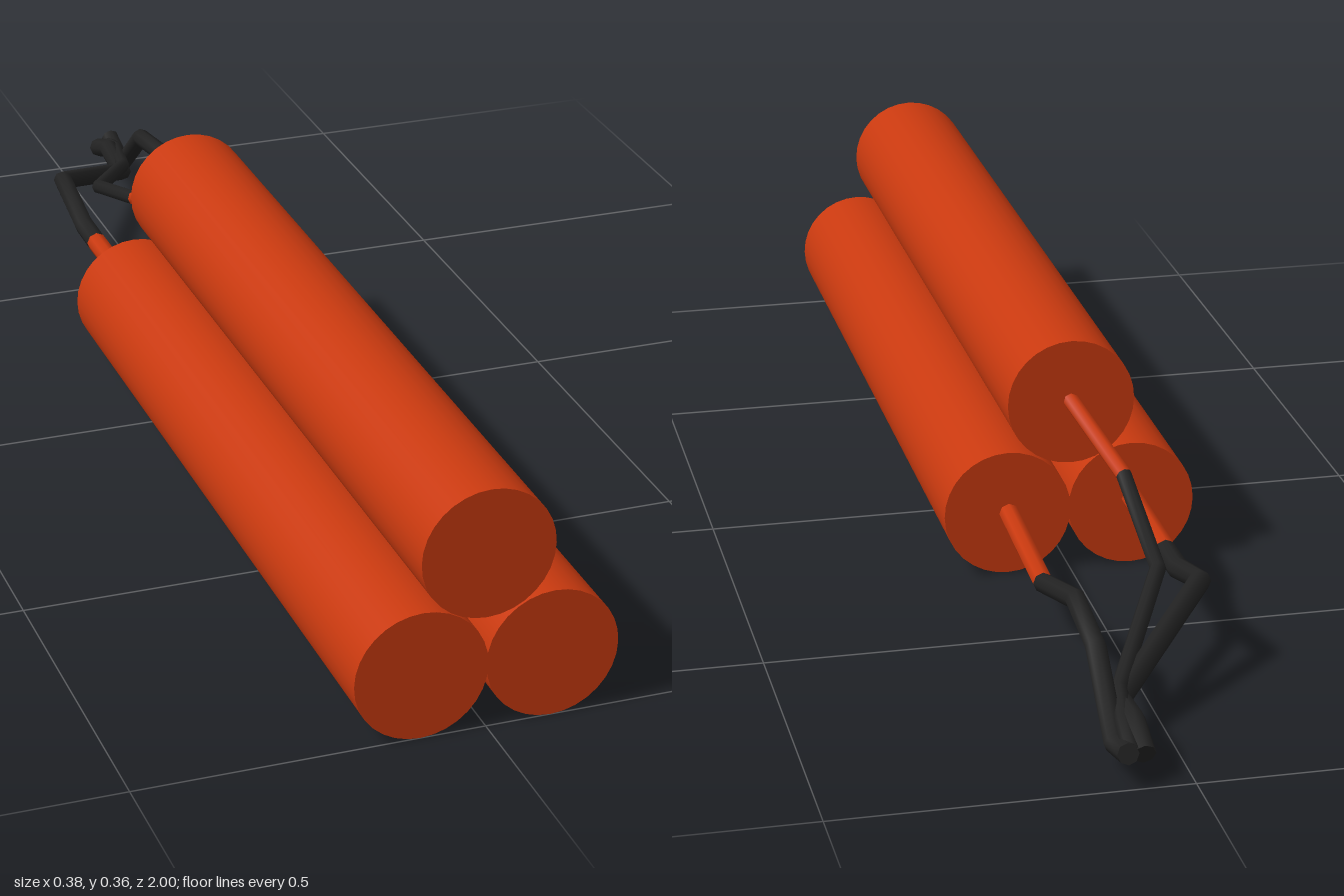
import * as THREE from 'three';

// Straight-segment path with averaged tangents at the corners, one tube ring per corner
class Polyline extends THREE.Curve {
  constructor(points) {
    super();
    this.points = points.map((p) => new THREE.Vector3(...p));
  }
  getPointAt(u) {
    const n = this.points.length - 1;
    const i = Math.min(Math.floor(u * n + 1e-6), n - 1);
    return this.points[i].clone().lerp(this.points[i + 1], u * n - i);
  }
  getTangentAt(u) {
    const n = this.points.length - 1;
    const k = Math.round(u * n);
    const dir = (i) => this.points[i + 1].clone().sub(this.points[i]).normalize();
    return dir(Math.max(k - 1, 0)).add(dir(Math.min(k, n - 1))).normalize();
  }
}

export function createModel() {
  const model = new THREE.Group();
  const red = new THREE.MeshStandardMaterial({ color: 0xc8390f });
  red.name = 'orange red';
  const black = new THREE.MeshStandardMaterial({ color: 0x222222 });
  black.name = 'black';

  // Three stacked sticks
  const stickGeo = new THREE.CylinderGeometry(0.0955, 0.0955, 1.26, 32).rotateX(Math.PI / 2);
  const sticks = { leftStick: [0.094, 0.097], rightStick: [-0.094, 0.097], topStick: [-0.002, 0.265] };
  for (const [name, [x, y]] of Object.entries(sticks)) {
    const stick = new THREE.Mesh(stickGeo, red);
    stick.name = name;
    stick.position.set(x, y, 0.37);
    model.add(stick);
  }

  // Wire: first segment red, the rest black, with a cap on the free end
  function addWire(name, radius, points) {
    const sides = 8;
    const segments = points.length - 1;
    const path = new Polyline(points);
    const geo = new THREE.TubeGeometry(path, segments, radius, sides);
    geo.addGroup(0, sides * 6, 0);
    geo.addGroup(sides * 6, (segments - 1) * sides * 6, 1);
    const wire = new THREE.Mesh(geo, [red, black]);
    wire.name = name;
    const cap = new THREE.Mesh(new THREE.CircleGeometry(radius, sides), black);
    cap.name = name + 'End';
    cap.position.copy(path.points[segments]);
    cap.quaternion.setFromUnitVectors(new THREE.Vector3(0, 0, 1), path.getTangentAt(1));
    model.add(wire, cap);
  }

  addWire('leftWire', 0.015, [
    [0.092, 0.097, -0.25], [0.092, 0.082, -0.49], [0.092, 0.143, -0.69],
    [0.092, 0.125, -0.81], [0.092, 0.032, -0.92], [0.092, 0.052, -0.995],
  ]);
  addWire('rightWire', 0.016, [
    [-0.096, 0.104, -0.25], [-0.096, 0.103, -0.46], [-0.096, 0.104, -0.53], [-0.096, 0.136, -0.65],
    [0.064, 0.055, -0.835], [0.066, 0.064, -0.92], [0.066, 0.042, -0.98],
  ]);
  addWire('topWire', 0.012, [
    [0, 0.27, -0.25], [-0.048, 0.2, -0.4], [-0.048, 0.138, -0.6],
    [0.064, 0.068, -0.83], [0.08, 0.062, -0.92], [0.084, 0.046, -0.98],
  ]);
  return model;
}
